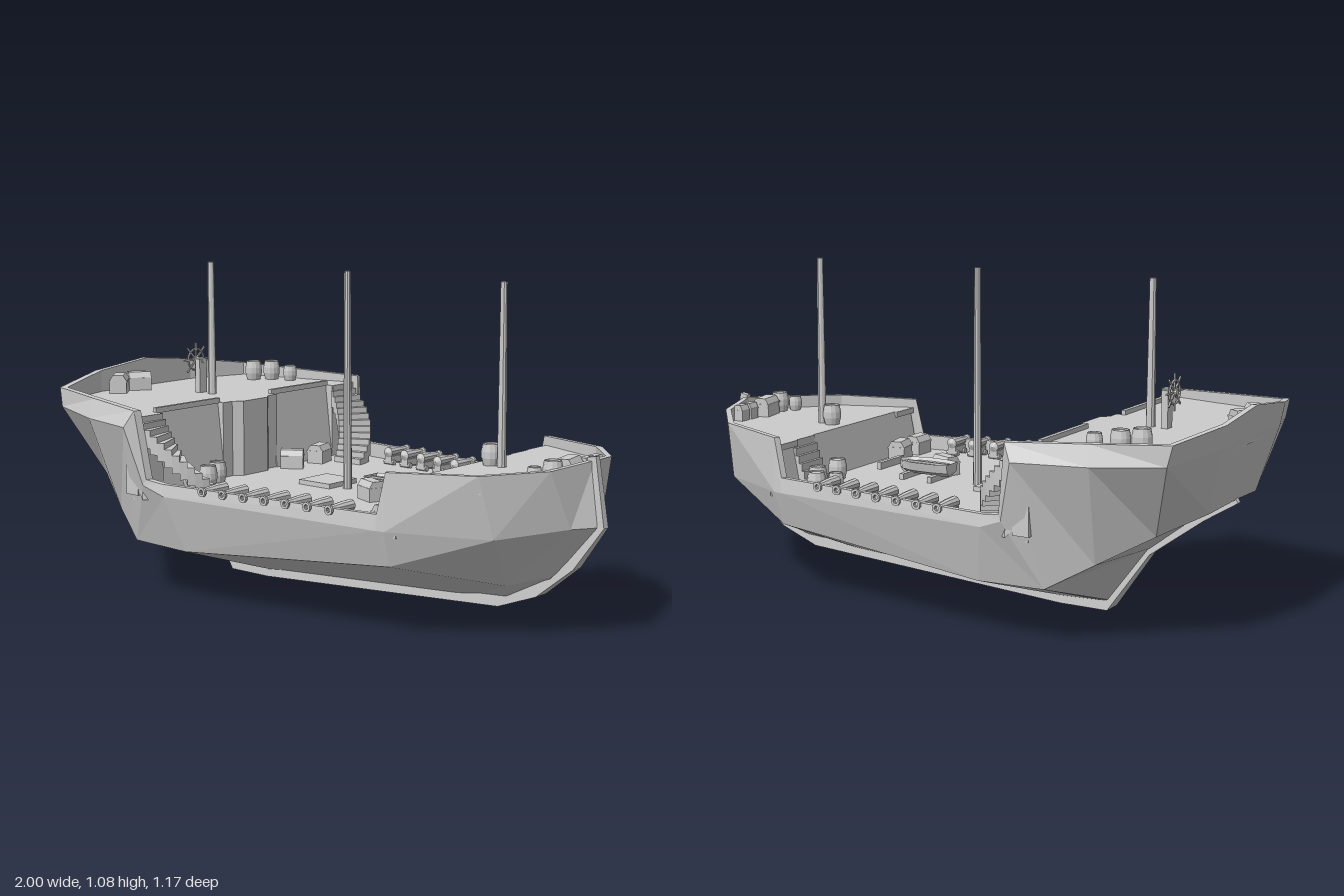
import * as THREE from 'three';

const mat = new THREE.MeshStandardMaterial({ color: 0xcccccc, flatShading: true, side: THREE.DoubleSide });
const MAIN = 0.35, QUARTER = 0.61, FORE = 0.5; // deck heights

function add(parent, name, geo, x = 0, y = 0, z = 0, ry = 0) {
  const m = new THREE.Mesh(geo, mat);
  m.name = name;
  m.position.set(x, y, z);
  m.rotation.y = ry;
  parent.add(m);
  return m;
}
const box = (w, h, d) => new THREE.BoxGeometry(w, h, d);
const shape = pts => new THREE.Shape(pts.map(p => new THREE.Vector2(p[0], p[1])));

// side profile (x, y) drawn out along z
function profile(pts, width) {
  return new THREE.ExtrudeGeometry(shape(pts), { depth: width, bevelEnabled: false }).translate(0, 0, -width / 2);
}
// plan outline (x, z) raised from y0 to y1
function prism(pts, y0, y1) {
  return new THREE.ExtrudeGeometry(shape(pts.map(p => [p[0], -p[1]])), { depth: y1 - y0, bevelEnabled: false })
    .rotateX(-Math.PI / 2).translate(0, y0, 0);
}
// skin over a row of equal-length sections
function loft(sections) {
  const pos = [];
  for (let i = 0; i < sections.length - 1; i++) {
    const a = sections[i], b = sections[i + 1];
    for (let j = 0; j < a.length - 1; j++) pos.push(...a[j], ...b[j], ...b[j + 1], ...a[j], ...b[j + 1], ...a[j + 1]);
  }
  const g = new THREE.BufferGeometry();
  g.setAttribute('position', new THREE.Float32BufferAttribute(pos, 3));
  g.computeVertexNormals();
  return g;
}

// half-hull sections, stern to bow: keel, chine, wale, rail
const hull = [
  [[-.94, .41, 0], [-.94, .41, 0], [-.985, .62, 0], [-1, .71, 0]],
  [[-.9, .385, 0], [-.93, .4, .18], [-.985, .61, .23], [-1, .685, .23]],
  [[-.82, .345, 0], [-.83, .35, .34], [-.915, .59, .46], [-.93, .655, .455]],
  [[-.66, .22, 0], [-.67, .26, .42], [-.7, .58, .53], [-.69, .645, .51]],
  [[-.52, .025, 0], [-.53, .18, .48], [-.47, .58, .585], [-.44, .635, .565]],
  [[-.5, .02, 0], [-.53, .18, .48], [-.42, .39, .55], [-.41, .41, .545]],
  [[-.35, .015, 0], [-.3, .175, .48], [-.34, .36, .535], [-.35, .4, .53]],
  [[.45, .065, 0], [.49, .235, .4], [.47, .35, .44], [.47, .4, .435]],
  [[.5, .07, 0], [.49, .235, .4], [.5, .35, .435], [.5, .53, .43]],
  [[.64, .08, 0], [.72, .16, .12], [.79, .34, .28], [.77, .537, .33]],
  [[.77, .135, 0], [.83, .19, .03], [.93, .36, .085], [.91, .545, .165]],
  [[.88, .24, 0], [.88, .24, 0], [.985, .36, 0], [.955, .56, 0]],
];
const floors = [QUARTER, QUARTER, QUARTER, QUARTER, MAIN, MAIN, MAIN, MAIN, MAIN, FORE, FORE, FORE];
const inset = p => [p[0] * 0.98, p[2] * 0.96];

// symmetric deck outline following the inside of the bulwark
function outline(from, to, x0, x1) {
  const half = hull.slice(from, to + 1).map(s => inset(s[3]));
  if (x0 !== undefined) half.unshift([x0, half[0][1]]);
  if (x1 !== undefined) half.push([x1, half[half.length - 1][1]]);
  return [...half, ...half.map(p => [p[0], -p[1]]).reverse()].filter((p, i, a) => i === 0 || p[0] !== a[i - 1][0] || p[1] !== a[i - 1][1]);
}

function barrel(parent, x, y, z, r = 0.031) {
  const h = r * 2.2;
  const pts = [[0, 0], [.8, 0], [1, .35], [1, .65], [.85, 1], [.75, 1], [.75, .93], [0, .93]];
  add(parent, 'barrel', new THREE.LatheGeometry(pts.map(p => new THREE.Vector2(p[0] * r, p[1] * h)), 12), x, y, z);
}
function chest(parent, x, y, z, ry = 0, w = 0.06, d = 0.08, h = 0.065) {
  const a = w / 2;
  add(parent, 'chest', profile([[-a, 0], [a, 0], [a, h * .7], [a * .6, h], [-a * .6, h], [-a, h * .7]], d), x, y, z, ry);
  add(parent, 'chestBand', box(w * 1.06, h * .08, d * 1.04), x, y + h * .65, z, ry);
}

function cannon(parent, x, side) {
  const rail = 0.53 - (x + 0.35) * 0.116;
  const g = new THREE.Group();
  g.name = 'cannon';
  const pts = [[0, -.06], [.009, -.055], [.019, -.05], [.017, 0], [.012, .045], [.016, .05], [.016, .058], [.008, .058], [.008, .03]];
  add(g, 'barrelTube', new THREE.LatheGeometry(pts.map(p => new THREE.Vector2(...p)), 10).rotateX(Math.PI / 2), 0, .045, 0);
  add(g, 'carriage', box(.03, .024, .07), 0, .02, -.015);
  for (const z of [-.04, .01]) add(g, 'wheels', new THREE.CylinderGeometry(.01, .01, .044, 8).rotateZ(Math.PI / 2), 0, .01, z);
  g.position.set(x, MAIN, side * (rail - .045));
  g.rotation.y = side > 0 ? 0 : Math.PI;
  parent.add(g);
}

// curved flight from the quarter deck down to the main deck
function curvedStair(parent, side) {
  const n = 12, at = (r, t) => [-.455 + r * Math.sin(t), side * (.335 + r * Math.cos(t))];
  for (let i = 0; i < n; i++) {
    const t0 = i / n * 1.5, t1 = (i + 1) / n * 1.5;
    const top = QUARTER - (i + 1) * (QUARTER - MAIN) / (n + 1);
    add(parent, 'stairStep', prism([at(.085, t0), at(.2, t0), at(.2, t1), at(.085, t1)], Math.max(MAIN, top - .06), top));
  }
}

function shipWheel(parent) {
  const g = new THREE.Group();
  g.name = 'steeringWheel';
  add(g, 'rim', new THREE.TorusGeometry(.038, .004, 6, 16).rotateY(Math.PI / 2));
  add(g, 'hub', new THREE.CylinderGeometry(.01, .01, .05, 8).rotateZ(Math.PI / 2), .015);
  for (let i = 0; i < 4; i++) add(g, 'spoke', box(.005, .12, .006)).rotation.x = i * Math.PI / 4;
  g.position.set(-.725, .725, 0);
  parent.add(g);
  add(parent, 'wheelPost', box(.022, .12, .035), -.7, QUARTER + .06, 0);
}

function rowBoat(parent) {
  const g = new THREE.Group();
  g.name = 'rowBoat';
  const secs = [[-.1, .036], [-.05, .048], [.03, .05], [.08, .03], [.105, .002]].map(([x, w]) =>
    [[x, .05, w * .8], [x, .06, w], [x, .03, w * .85], [x * .9, .012, 0], [x, .03, -w * .85], [x, .06, -w], [x, .05, -w * .8]]);
  add(g, 'shell', loft(secs));
  add(g, 'floor', loft(secs.map(s => [s[0], s[6]])));
  add(g, 'transom', loft([secs[0].slice(1, 4), secs[0].slice(3, 6).reverse()]));
  for (const x of [-.05, .06]) add(g, 'cradle', box(.016, .02, .13), x, .01, 0);
  add(g, 'keelRidge', box(.17, .006, .008), -.01, .053, 0);
  g.position.set(.185, MAIN, 0);
  parent.add(g);
}

export function createModel() {
  const ship = new THREE.Group();
  ship.name = 'ship';

  // hull sides with capped bulwark, mirrored
  const sections = hull.map((s, i) => {
    const [x, z] = inset(s[3]);
    return [...s, [x, s[3][1], z], [x, floors[i] - .01, z]];
  });
  const side = loft(sections);
  add(ship, 'hullLeftSide', side);
  add(ship, 'hullRightSide', side).scale.z = -1;

  // keel and stem, narrowing upwards
  const keel = profile([[-.95, .4], [-.84, .332], [-.66, .2], [-.52, 0], [-.35, 0], [.63, .062], [.77, .115], [.9, .22], [1, .36], [.965, .575],
    [.935, .57], [.96, .37], [.86, .25], [.75, .17], [.62, .11], [-.35, .05], [-.5, .05], [-.62, .25], [-.82, .37], [-.93, .43]], 2);
  const p = keel.attributes.position;
  for (let i = 0; i < p.count; i++) p.setZ(i, p.getZ(i) * THREE.MathUtils.mapLinear(Math.min(p.getY(i), .4), 0, .4, .036, .01));
  keel.computeVertexNormals();
  add(ship, 'keel', keel);

  // decks
  add(ship, 'mainDeck', prism(outline(5, 7, -.5, .53), MAIN - .02, MAIN));
  add(ship, 'quarterDeck', prism(outline(0, 3, undefined, -.49), QUARTER - .02, QUARTER));
  add(ship, 'foreDeck', prism(outline(9, 11, .515), FORE - .02, FORE));
  for (const s of [1, -1]) {
    add(ship, 'quarterDeckEdge', prism([[-.7, s * .48], [-.45, s * .545], [-.45, s * .43], [-.7, s * .43]], QUARTER - .02, QUARTER));
    add(ship, 'foreDeckEdge', prism([[.5, s * .3], [.5, s * .42], [.77, s * .32], [.77, s * .25]], FORE - .02, FORE));
  }

  // cabin front: sloping panels, corner piers and a projecting centre bay
  const panel = [[-.51, MAIN], [-.455, MAIN], [-.485, QUARTER], [-.51, QUARTER]];
  for (const s of [1, -1]) {
    add(ship, 'cabinPanel', profile(panel, .3), 0, 0, s * .28);
    add(ship, 'cabinBeam', box(.014, .018, .3), -.487, QUARTER + .006, s * .28);
    add(ship, 'cabinPier', prism([[-.51, s * .425], [-.455, s * .425], [-.455, s * .54], [-.51, s * .54]], MAIN, QUARTER));
    curvedStair(ship, s);
  }
  add(ship, 'cabinBay', prism([[-.51, -.135], [-.46, -.135], [-.46, -.09], [-.435, -.06], [-.435, .06], [-.46, .09], [-.46, .135], [-.51, .135]], MAIN, QUARTER));

  // sloping forecastle wall, broken by a short stair
  const wall = [[.48, MAIN], [.53, MAIN], [.53, FORE], [.51, FORE]];
  add(ship, 'forecastleWall', profile(wall, .6), 0, 0, .1);
  add(ship, 'forecastleWall', profile(wall, .1), 0, 0, -.37);
  for (let i = 0; i < 6; i++) add(ship, 'forecastleStep', box(.08 - i * .011, .025, .12), .49 + i * .0055, MAIN + .0125 + i * .025, -.26);

  // masts
  for (const [x, y] of [[-.645, QUARTER], [-.015, MAIN], [.615, FORE]])
    add(ship, 'mast', new THREE.CylinderGeometry(.011, .015, 1.075 - y, 10), x, (1.075 + y) / 2, 0);

  // guns along both rails
  for (let i = 0; i < 7; i++) for (const s of [1, -1]) cannon(ship, -.18 + i * .081, s);

  shipWheel(ship);
  rowBoat(ship);
  add(ship, 'hatch', box(.135, .016, .14), -.12, MAIN + .008, -.02);
  add(ship, 'longBox', box(.016, .025, .145), .4, MAIN + .012, .105);

  // barrels and chests
  for (const [x, z, r] of [[-.79, -.365], [-.745, -.415], [-.67, -.435, .025]]) barrel(ship, x, QUARTER, z, r);
  for (const [x, z, r] of [[-.43, .195], [-.405, .265], [-.425, .33, .025], [.38, -.365], [.355, -.29, .025], [.425, -.295], [.44, -.16]])
    barrel(ship, x, MAIN, z, r);
  for (const [x, z, r] of [[.57, -.005], [.88, .11], [.845, .155, .023]]) barrel(ship, x, FORE, z, r);
  for (const [x, z, a] of [[-.92, .095, -.6], [-.92, .19, .7]]) chest(ship, x, QUARTER, z, a);
  for (const [x, z, a] of [[-.41, -.305, .3], [-.41, -.16, -.9], [.165, .09, 1.2], [.445, .235, .2], [.44, .345, 0]]) chest(ship, x, MAIN, z, a);
  chest(ship, .875, FORE, .02, .2, .06, .09);
  for (const z of [-.06, -.11]) chest(ship, .885, FORE, z, 0, .04, .04, .055);

  return ship;
}
